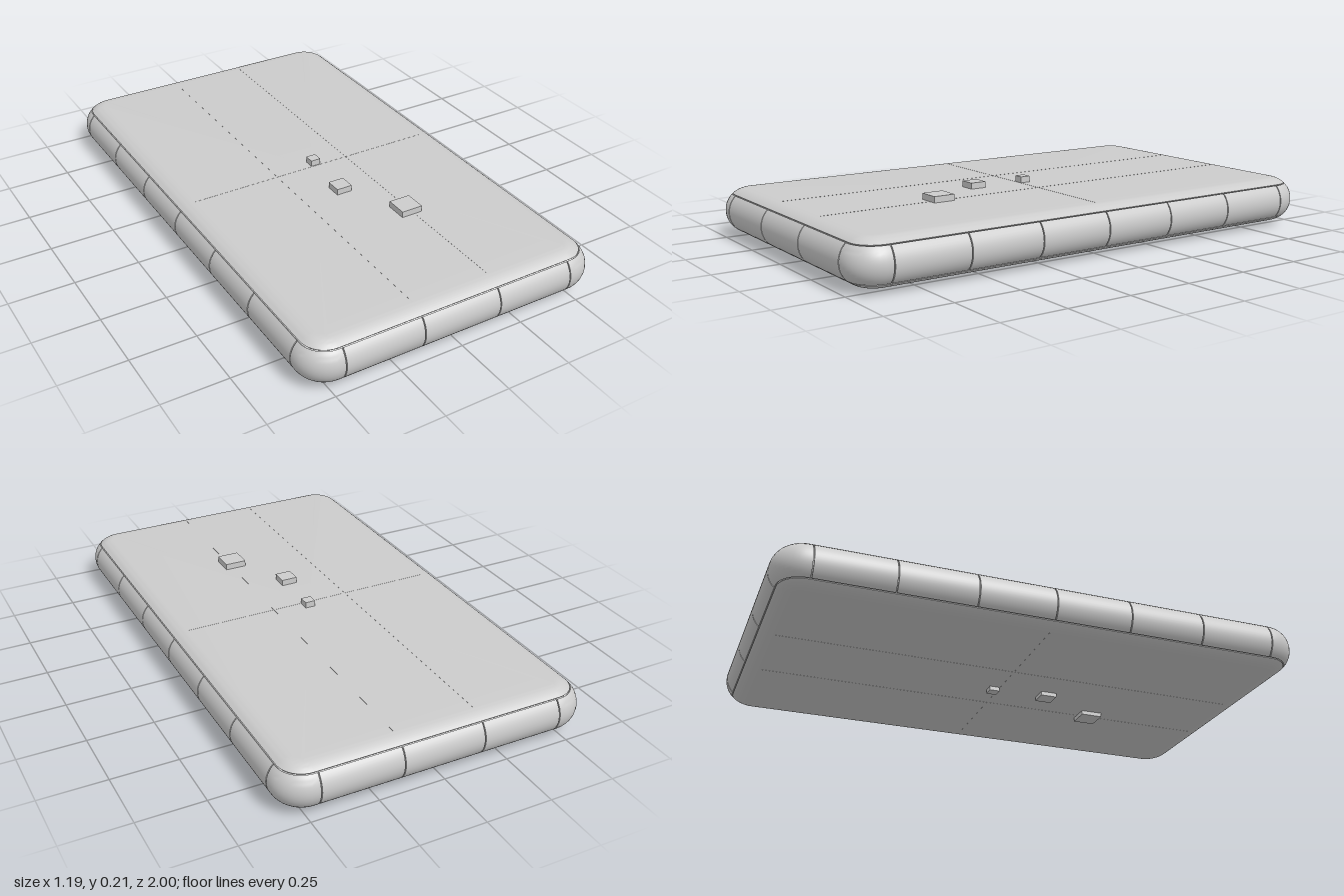
import * as THREE from 'three';
import { toCreasedNormals } from 'three/addons/utils/BufferGeometryUtils.js';

const HX = 0.594, HZ = 1.0;      // half width and half length
const R = 0.0865, CY = 0.102;    // edge radius and mid height
const RC = 0.12;                 // corner radius in plan
const DEPTH = 0.006, GAP = 0.002; // seam depth and half width
const BX = HX - RC, BZ = HZ - RC;
const SPLIT = 0.84;              // edge angle where the rim meets the lids

const grey = () => new THREE.MeshStandardMaterial({ color: 0xcccccc });

// A station on the outline: base point plus outward direction
const station = (x, z, a) => ({ x, z, nx: Math.cos(a), nz: Math.sin(a) });

// Quarter-round corner, from the x side to the z side for (1, 1)
function corner(sx, sz) {
  const list = [];
  for (let i = 0; i <= 10; i++) {
    const a = (i / 10) * Math.PI / 2;
    list.push({ x: sx * BX, z: sz * BZ, nx: sx * Math.cos(a), nz: sz * Math.sin(a) });
  }
  return sx * sz > 0 ? list : list.reverse();
}

const range = (a, b, n) => Array.from({ length: n + 1 }, (_, i) => a + (b - a) * i / n);

// Sweep of the edge arc: rows are [angle, inset], columns are [station, inset]
function sweep(cols, rows, closed, capTop, capBottom) {
  const pos = [], idx = [], n = cols.length, m = rows.length;
  for (const [phi, dr] of rows) {
    for (const [s, dc] of cols) {
      const r = R - Math.max(dr, dc), out = RC - R + r * Math.cos(phi);
      pos.push(s.x + s.nx * out, CY + r * Math.sin(phi), s.z + s.nz * out);
    }
  }
  for (let j = 0; j < m - 1; j++) {
    for (let i = 0; i < (closed ? n : n - 1); i++) {
      const k = (i + 1) % n, a = j * n + i, b = j * n + k;
      idx.push(a, a + n, b, b, a + n, b + n);
    }
  }
  // Flat caps as fans
  const cap = (row, up) => {
    const c = pos.length / 3;
    pos.push(0, pos[row * n * 3 + 1], 0);
    for (let i = 0; i < n; i++) {
      const a = row * n + i, b = row * n + (i + 1) % n;
      if (up) idx.push(c, b, a); else idx.push(c, a, b);
    }
  };
  if (capTop) cap(m - 1, true);
  if (capBottom) cap(0, false);
  const g = new THREE.BufferGeometry();
  g.setAttribute('position', new THREE.Float32BufferAttribute(pos, 3));
  g.setIndex(idx);
  return toCreasedNormals(g, 0.6);
}

export function createModel() {
  const model = new THREE.Group();
  const add = (geometry, name) => {
    const mesh = new THREE.Mesh(geometry, grey());
    mesh.name = name;
    model.add(mesh);
    return mesh;
  };

  // Solid core seen at the bottom of the seams
  const loop = [...corner(1, 1), ...corner(-1, 1), ...corner(-1, -1), ...corner(1, -1)];
  const ring = loop.map(s => [s, 0]);
  add(sweep(ring, range(-Math.PI / 2, Math.PI / 2, 24).map(p => [p, DEPTH]), true, true, true), 'core');

  // Top and bottom lids with their rounded borders
  const edge = SPLIT + GAP / R;
  const lidArc = range(edge, Math.PI / 2, 8).map(p => [p, 0]);
  add(sweep(ring, [[edge, DEPTH], ...lidArc], true, true, false), 'topLid');
  const underArc = range(-Math.PI / 2, -edge, 8).map(p => [p, 0]);
  add(sweep(ring, [...underArc, [-edge, DEPTH]], true, false, true), 'bottomLid');

  // Rim panels, separated by narrow seams
  const lim = SPLIT - GAP / R;
  const rimRows = [[-lim, DEPTH], ...range(-lim, lim, 14).map(p => [p, 0]), [lim, DEPTH]];
  const rimPanel = (list, name) => {
    const cols = list.map(s => [s, 0]);
    add(sweep([[list[0], DEPTH], ...cols, [list[list.length - 1], DEPTH]], rimRows, false), name);
  };
  const xSeams = [-0.46, -0.155, 0.155, 0.46];
  const zSeams = [-0.87, -0.58, -0.29, 0, 0.29, 0.58, 0.87];
  for (const s of [1, -1]) {
    for (let i = 0; i < zSeams.length - 1; i++) {
      const a = s > 0 ? 0 : Math.PI;
      const ends = [station(s * BX, zSeams[i] + GAP, a), station(s * BX, zSeams[i + 1] - GAP, a)];
      rimPanel(s > 0 ? ends : ends.reverse(), 'sideRimPanel');
    }
    for (let i = 0; i < xSeams.length - 1; i++) {
      const a = s * Math.PI / 2;
      const ends = [station(xSeams[i] + GAP, s * BZ, a), station(xSeams[i + 1] - GAP, s * BZ, a)];
      rimPanel(s > 0 ? ends.reverse() : ends, 'endRimPanel');
    }
    for (const t of [1, -1]) {
      const onSide = station(s * BX, t * (0.87 + GAP), s > 0 ? 0 : Math.PI);
      const onEnd = station(s * (0.46 + GAP), t * BZ, t * Math.PI / 2);
      const arc = corner(s, t);
      rimPanel(s * t > 0 ? [onSide, ...arc, onEnd] : [onEnd, ...arc, onSide], 'cornerRimPanel');
    }
  }

  // Hairline panel joints on both flat faces
  for (const y of [CY + R, CY - R]) {
    const joint = (w, d, x) =>
      add(new THREE.BoxGeometry(w, 0.001, d), 'panelJoint').position.set(x, y, 0);
    for (const x of [-0.155, 0.155]) joint(0.002, 2 * (HZ - R), x);
    joint(2 * (HX - R), 0.002, 0);
  }

  // Square posts passing through the slab: x, z, size
  const posts = [[0.143, 0.438, 0.085], [0.008, 0.197, 0.063], [0.019, -0.023, 0.04]];
  for (const [x, z, size] of posts) {
    add(new THREE.BoxGeometry(size, 0.212, size), 'squarePost').position.set(x, 0.106, z);
  }
  return model;
}
